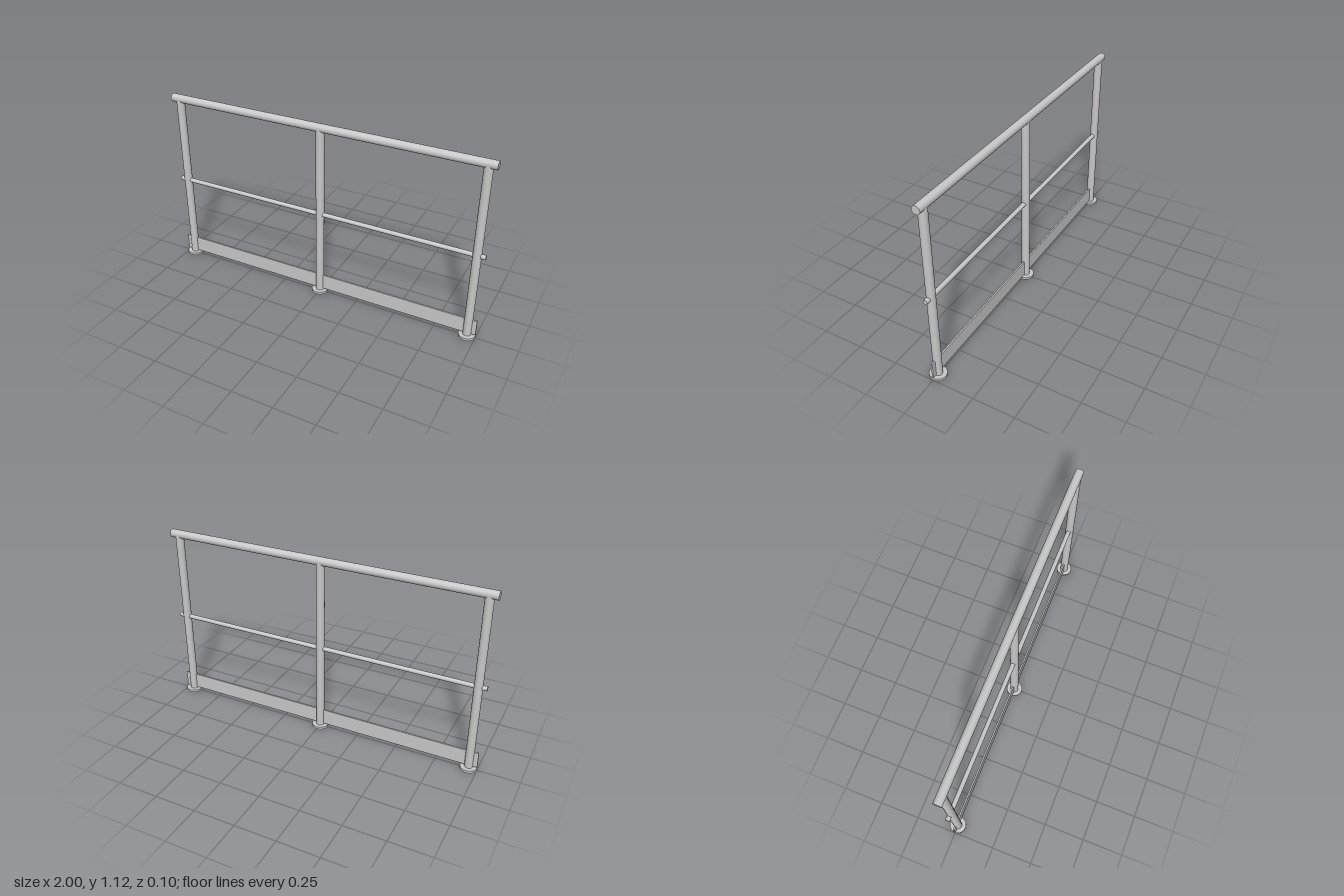
import * as THREE from 'three';

export function createModel() {
  const group = new THREE.Group();
  const steel = new THREE.MeshStandardMaterial({ color: 0xc8c8c8 });
  steel.name = 'galvanised steel';

  function add(name, geometry, x, y) {
    const mesh = new THREE.Mesh(geometry, steel);
    mesh.name = name;
    mesh.position.set(x, y, 0);
    group.add(mesh);
    return mesh;
  }

  // Horizontal tubes running the full length
  const rail = (name, radius, y) =>
    add(name, new THREE.CylinderGeometry(radius, radius, 2, 24).rotateZ(Math.PI / 2), 0, y);
  rail('handRail', 0.025, 1.1);
  rail('midRail', 0.0135, 0.551);

  // Upright posts on round base plates
  const postGeometry = new THREE.CylinderGeometry(0.025, 0.025, 1.09, 24);
  const plateGeometry = new THREE.CylinderGeometry(0.05, 0.05, 0.015, 24);
  [['right', -0.95], ['middle', 0], ['left', 0.95]].forEach(([side, x]) => {
    add(side + 'Post', postGeometry, x, 0.555);
    add(side + 'BasePlate', plateGeometry, x, 0.0075);
  });

  // Flat kick board near the ground
  add('toeBoard', new THREE.BoxGeometry(2, 0.098, 0.01), 0, 0.072);

  return group;
}
